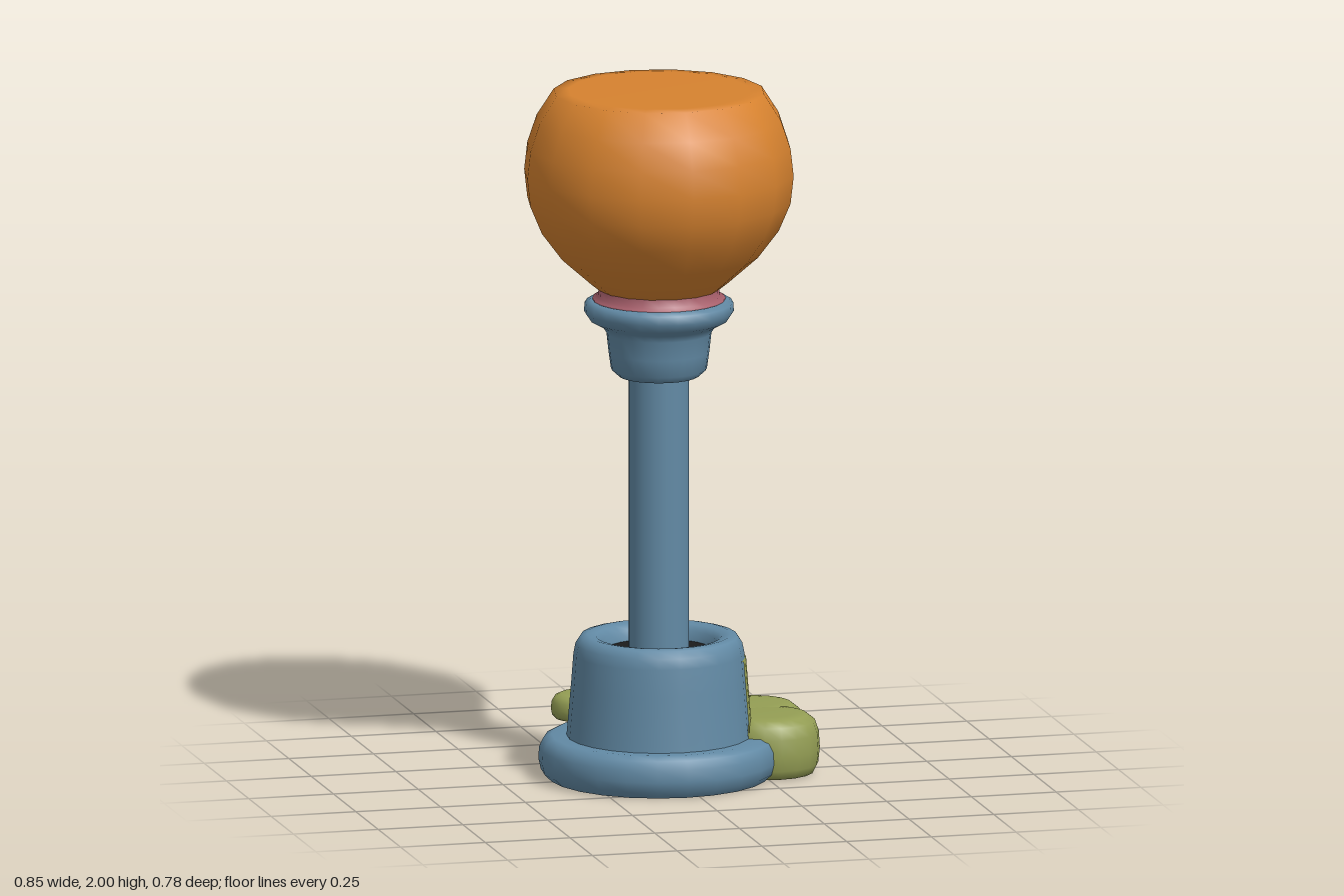
import * as THREE from 'three';

export function createModel() {
  const mat = (name, color, side = THREE.FrontSide) => {
    const m = new THREE.MeshStandardMaterial({ color, side });
    m.name = name;
    return m;
  };
  const blue = mat('blue metal', 0x628aa5, THREE.DoubleSide);
  const orange = mat('orange globe', 0xd6822f);
  const green = mat('moss green', 0x949e54, THREE.DoubleSide);
  const pink = mat('dusty pink', 0xa8606c);
  const dark = mat('dark underside', 0x1c1c1c);

  const model = new THREE.Group();
  const post = new THREE.Group();
  post.name = 'lampPost';
  post.position.x = -0.04;
  model.add(post);

  const add = (parent, name, geometry, material, x = 0, y = 0, z = 0) => {
    const mesh = new THREE.Mesh(geometry, material);
    mesh.name = name;
    mesh.position.set(x, y, z);
    parent.add(mesh);
    return mesh;
  };
  // Turned profile: [radius, height] pairs from bottom to top
  const turn = (pts, sides = 24, start = 0, sweep = Math.PI * 2) =>
    new THREE.LatheGeometry(pts.map(([r, y]) => new THREE.Vector2(r, y)), sides, start, sweep);
  const disc = (r, up) => new THREE.CircleGeometry(r, 24).rotateX(up ? -Math.PI / 2 : Math.PI / 2);

  // Base: wide rounded flange with a dark underside
  add(post, 'baseFlange', turn([
    [0.315, 0], [0.335, 0.02], [0.342, 0.05], [0.34, 0.085], [0.328, 0.11], [0.305, 0.122], [0.24, 0.122],
  ]), blue, 0, 0, -0.008);
  add(post, 'baseUnderside', disc(0.315, false), dark, 0, 0.001, -0.008);

  // Tapered drum with a recessed top
  add(post, 'baseDrum', turn([
    [0.266, 0.1], [0.262, 0.14], [0.25, 0.28], [0.244, 0.36], [0.238, 0.39],
    [0.225, 0.41], [0.205, 0.415], [0.18, 0.41], [0.162, 0.395], [0.155, 0.365],
  ]), blue);
  add(post, 'drumRecess', disc(0.156, true), dark, 0, 0.367, 0);

  // Column and flared lamp holder
  add(post, 'column', new THREE.CylinderGeometry(0.087, 0.087, 0.85, 16, 1, true), blue, 0, 0.775, 0);
  add(post, 'lampHolder', turn([
    [0.08, 1.165], [0.115, 1.17], [0.137, 1.19], [0.144, 1.24], [0.15, 1.295], [0.163, 1.315],
    [0.198, 1.334], [0.214, 1.358], [0.212, 1.383], [0.195, 1.393], [0.16, 1.39],
  ]), blue);
  add(post, 'collar', turn([[0.19, 1.385], [0.19, 1.397], [0.174, 1.402], [0.172, 1.43]]), pink);

  // Globe with a flat top
  add(post, 'globe', turn([
    [0.15, 1.415], [0.175, 1.425], [0.2, 1.445], [0.285, 1.52], [0.345, 1.6], [0.379, 1.68],
    [0.388, 1.76], [0.379, 1.84], [0.352, 1.92], [0.303, 1.997], [0.26, 2], [0, 2],
  ], 16), orange);

  // Green patch wrapped around the drum's side
  add(post, 'mossPatch', turn([
    [0.267, 0.12], [0.254, 0.28], [0.249, 0.345], [0.24, 0.346],
  ], 12, 1.07, 1.36), green);

  // Soft cushion-shaped lobe of unit radius and unit height
  const cushion = () => turn([
    [0, 0], [0.88, 0], [0.97, 0.15], [1, 0.4], [0.98, 0.68], [0.9, 0.88], [0.75, 0.98], [0.5, 1], [0, 1],
  ], 18);
  const lobes = new THREE.Group();
  lobes.name = 'mossClump';
  model.add(lobes);
  for (const [x, z] of [[0.275, -0.132], [0.28, 0.02]]) {
    add(lobes, 'mossLobe', cushion(), green, x, 0.002, z).scale.set(0.145, 0.17, 0.145);
    add(lobes, 'lobeUnderside', disc(0.127, false), dark, x, 0, z);
  }
  add(model, 'backMoss', cushion(), green, -0.175, 0.12, -0.29).scale.set(0.105, 0.073, 0.085);

  return model;
}
